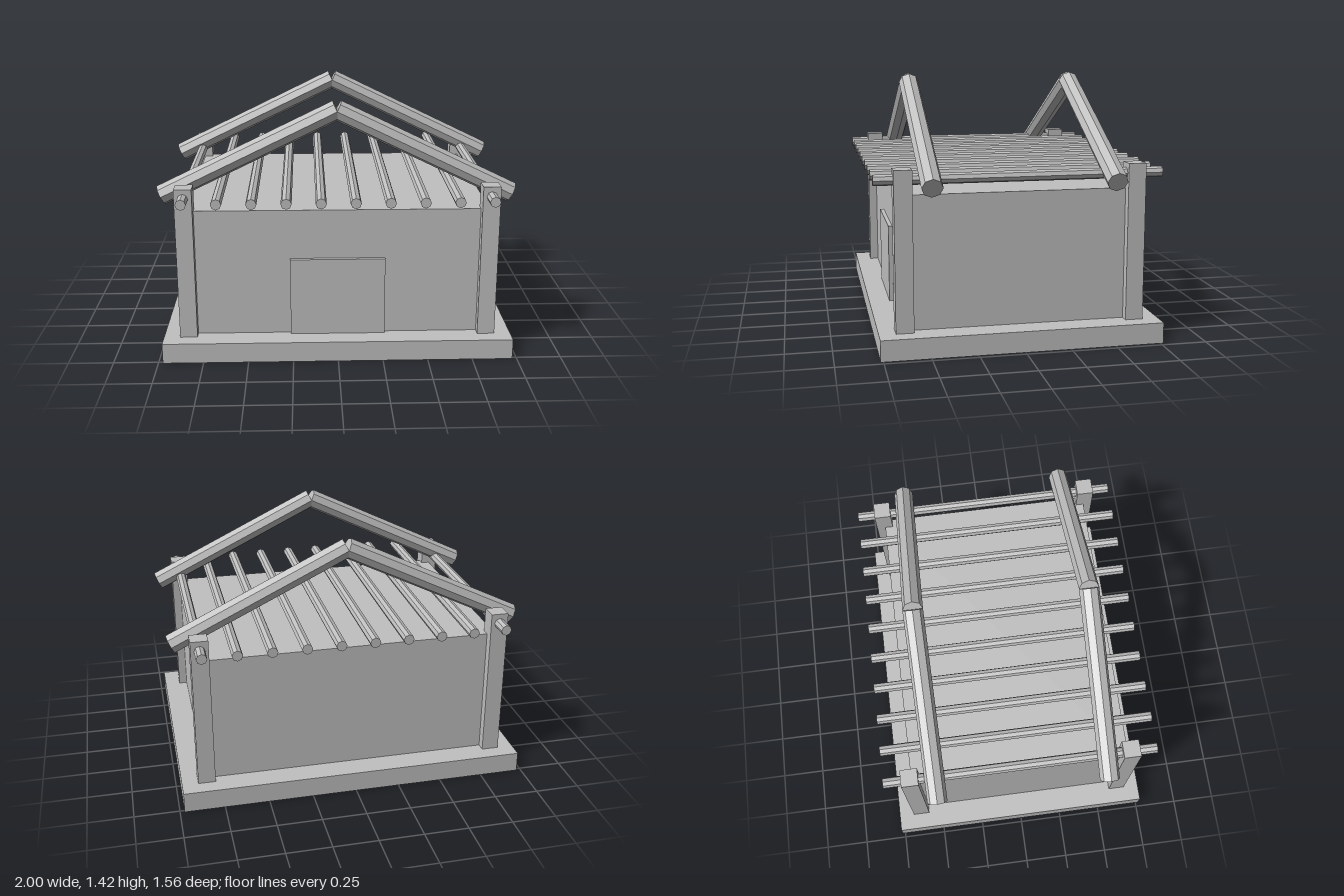
import * as THREE from 'three';

const material = new THREE.MeshStandardMaterial({ color: 0xc0c0c0, flatShading: true });
material.name = 'plain grey';

const BASE_TOP = 0.115;

function addMesh(parent, name, geometry, x, y, z) {
  const mesh = new THREE.Mesh(geometry, material);
  mesh.name = name;
  mesh.position.set(x, y, z);
  parent.add(mesh);
  return mesh;
}

// Box given by its size in x and z, bottom and top heights, and centre
function addBlock(parent, name, width, depth, bottom, top, x = 0, z = 0) {
  const geometry = new THREE.BoxGeometry(width, top - bottom, depth);
  return addMesh(parent, name, geometry, x, (bottom + top) / 2, z);
}

// Eight-sided log running between two points
function addLog(parent, name, from, to, radius) {
  const along = to.clone().sub(from);
  const geometry = new THREE.CylinderGeometry(radius, radius, along.length(), 8);
  const mid = from.clone().add(to).multiplyScalar(0.5);
  const log = addMesh(parent, name, geometry, mid.x, mid.y, mid.z);
  log.quaternion.setFromUnitVectors(new THREE.Vector3(0, 1, 0), along.normalize());
  return log;
}

export function createModel() {
  const hut = new THREE.Group();
  hut.name = 'hut';

  // Plinth, solid room and door slab
  addBlock(hut, 'base', 1.95, 1.53, 0, BASE_TOP);
  addBlock(hut, 'walls', 1.672, 1.25, BASE_TOP, 0.84);
  addBlock(hut, 'door', 0.528, 0.04, BASE_TOP, 0.56, 0, 0.628);

  // Corner posts
  for (const sx of [-1, 1]) {
    for (const sz of [-1, 1]) {
      addBlock(hut, 'cornerPost', 0.097, 0.097, BASE_TOP, 0.977, sx * 0.836, sz * 0.627);
    }
  }

  // Ceiling poles running front to back
  const poleCount = 10;
  for (let i = 0; i < poleCount; i++) {
    const x = -0.836 + (1.672 * i) / (poleCount - 1);
    addLog(hut, 'ceilingPole', new THREE.Vector3(x, 0.922, -0.778),
      new THREE.Vector3(x, 0.922, 0.778), 0.0295);
  }

  // Two pairs of sloping rafters meeting at the ridge
  for (const z of [-0.488, 0.488]) {
    for (const side of [-1, 1]) {
      addLog(hut, 'rafter', new THREE.Vector3(side * 0.975, 0.894, z),
        new THREE.Vector3(0, 1.368, z), 0.0565);
    }
  }

  return hut;
}
